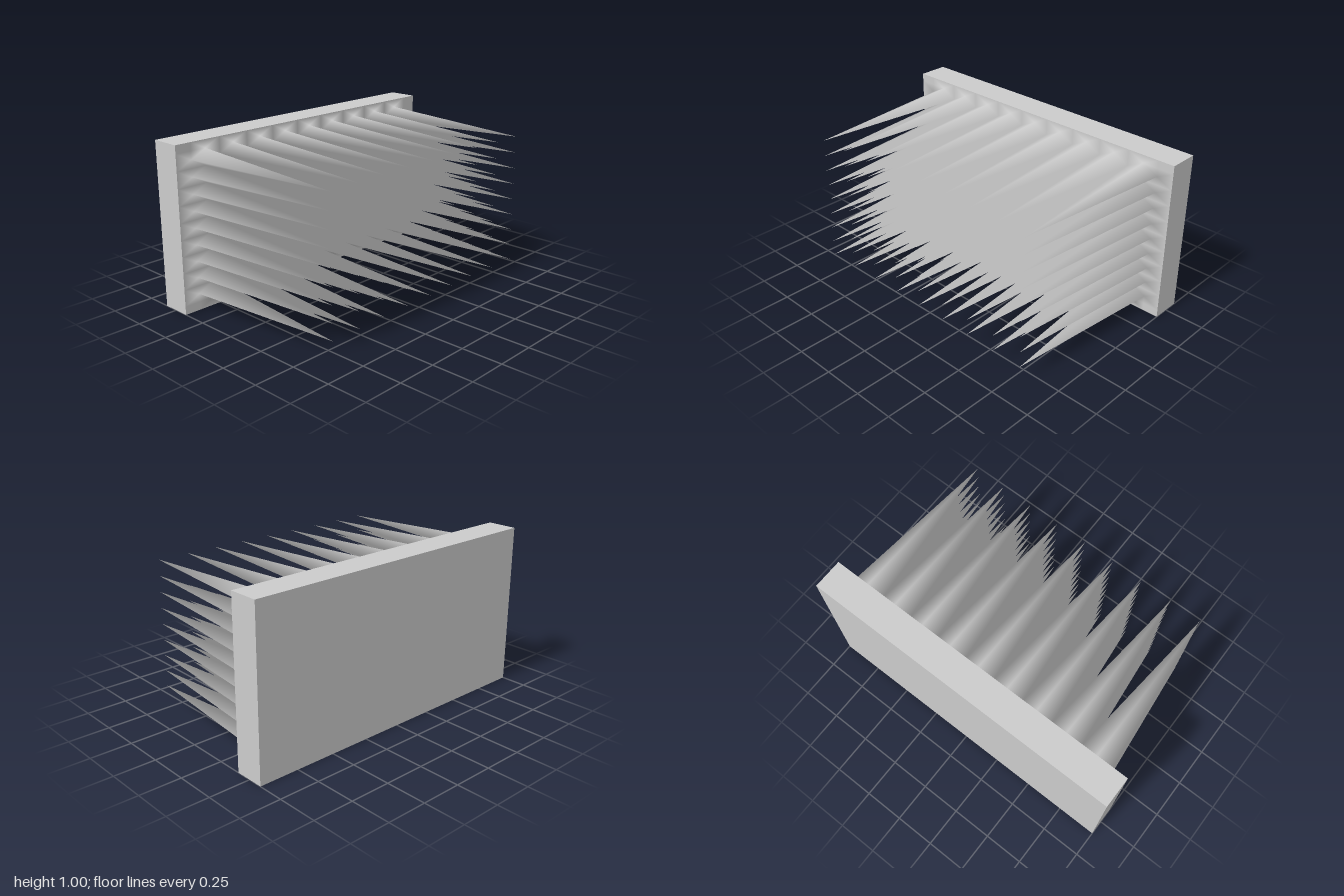
import * as THREE from 'three';

const WIDTH = 2, HEIGHT = 1;
const BACK = -0.59, FACE = -0.405, TIP = 0.59;
const CELLS = 20; // two grid cells per spike, one spare cell round the rim

// Grid sheet whose even inner points are pulled out into four-sided spikes,
// sharing smooth normals with the sheet around them.
function spikeSheet() {
  const geometry = new THREE.PlaneGeometry(WIDTH, HEIGHT, CELLS, CELLS);
  const position = geometry.attributes.position;
  const row = CELLS + 1;
  const inner = (n) => n > 0 && n < CELLS && n % 2 === 0;

  for (let j = 0; j < row; j++) {
    for (let i = 0; i < row; i++) {
      if (inner(i) && inner(j)) position.setZ(j * row + i, TIP - FACE);
    }
  }

  // Diagonals join the odd points, so every spike has a diamond base
  const index = [];
  for (let j = 0; j < CELLS; j++) {
    for (let i = 0; i < CELLS; i++) {
      const a = j * row + i, b = a + row, c = b + 1, d = a + 1;
      if ((i + j) % 2 === 0) index.push(a, b, d, b, c, d);
      else index.push(a, b, c, a, c, d);
    }
  }
  geometry.setIndex(index);
  geometry.computeVertexNormals();
  return geometry;
}

// Backing slab without its front side, which the spike sheet closes
function slab() {
  const geometry = new THREE.BoxGeometry(WIDTH, HEIGHT, FACE - BACK);
  const index = Array.from(geometry.index.array);
  index.splice(24, 6);
  geometry.setIndex(index);
  geometry.clearGroups();
  return geometry;
}

export function createModel() {
  const group = new THREE.Group();
  group.name = 'spikedWall';
  const material = new THREE.MeshStandardMaterial({ color: 0xcccccc });

  const plate = new THREE.Mesh(slab(), material);
  plate.name = 'backPlate';
  plate.position.set(0, HEIGHT / 2, (BACK + FACE) / 2);

  const spikes = new THREE.Mesh(spikeSheet(), material);
  spikes.name = 'spikes';
  spikes.position.set(0, HEIGHT / 2, FACE);

  group.add(plate, spikes);
  return group;
}
